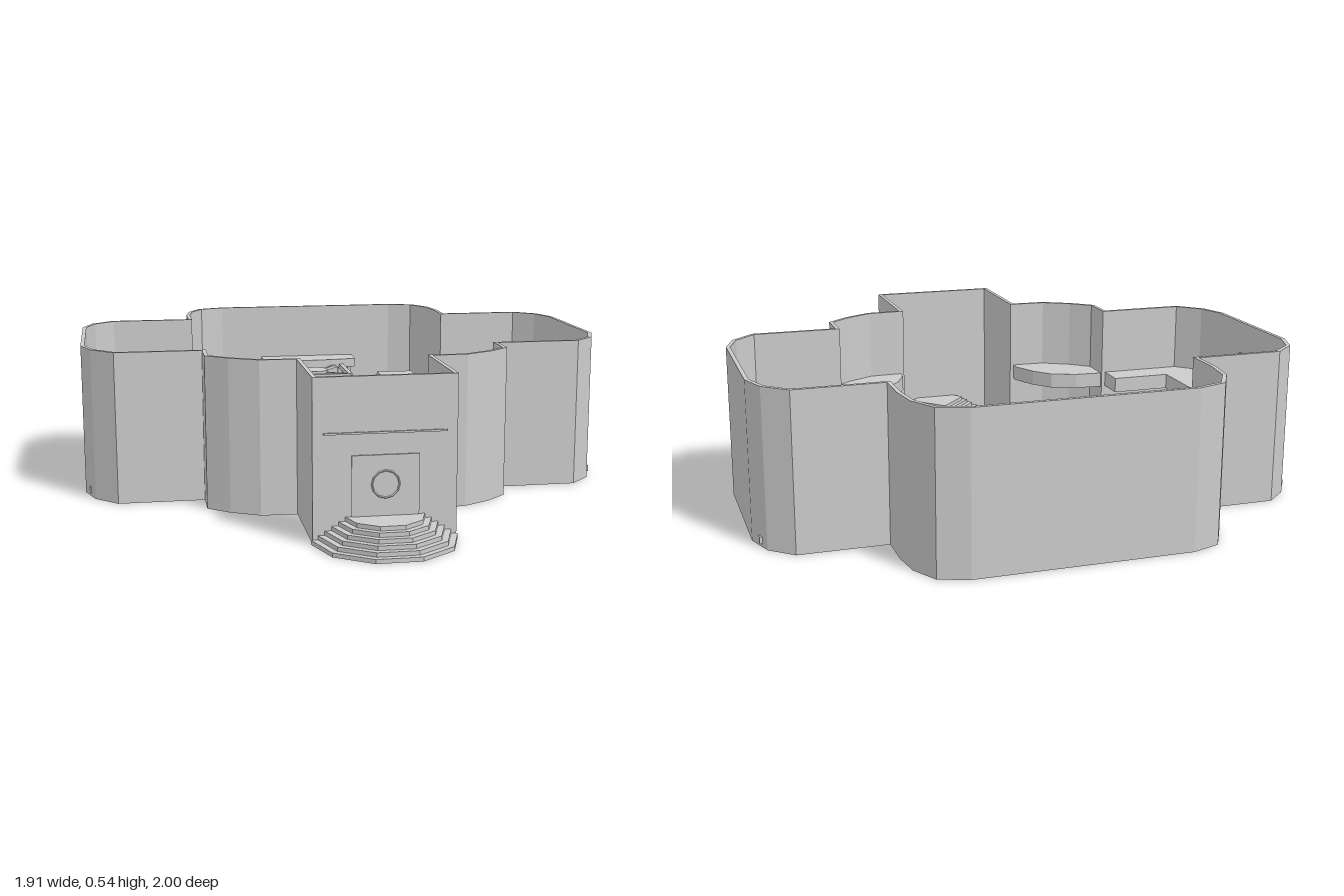
import * as THREE from 'three';

const material = new THREE.MeshStandardMaterial({ color: 0xcccccc, flatShading: true, side: THREE.DoubleSide });
const H = 0.54;

function add(parent, name, geometry, x = 0, y = 0, z = 0) {
  const mesh = new THREE.Mesh(geometry, material);
  mesh.name = name;
  mesh.position.set(x, y, z);
  parent.add(mesh);
  return mesh;
}

// Slab from a plan outline of [x, z] points, rising from y0 to y1
function slab(parent, name, points, y0, y1, hole) {
  const flat = (list) => list.map(([x, z]) => new THREE.Vector2(x, -z));
  const shape = new THREE.Shape(flat(points));
  if (hole) shape.holes.push(new THREE.Path(flat(hole)));
  const geometry = new THREE.ExtrudeGeometry(shape, { depth: y1 - y0, bevelEnabled: false });
  return add(parent, name, geometry.rotateX(-Math.PI / 2), 0, y0, 0);
}

const box = (parent, name, w, h, d, x, y, z) => add(parent, name, new THREE.BoxGeometry(w, h, d), x, y, z);

const mirror = (points, s) => points.map(([x, z]) => [x * s, z]);

// Points of an arc in plan; angle 0 is +x, 90 degrees is +z
function arc(cx, cz, r, from, to, n) {
  return Array.from({ length: n + 1 }, (_, i) => {
    const a = THREE.MathUtils.degToRad(from + (to - from) * i / n);
    return [cx + r * Math.cos(a), cz + r * Math.sin(a)];
  });
}

// Moves a closed outline sideways by t with mitred corners
function inset(points, t) {
  const n = points.length;
  return points.map((p, i) => {
    const a = points[(i + n - 1) % n], b = points[(i + 1) % n];
    const d1 = new THREE.Vector2(p[0] - a[0], p[1] - a[1]).normalize();
    const d2 = new THREE.Vector2(b[0] - p[0], b[1] - p[1]).normalize();
    const nx = -d1.y - d2.y, nz = d1.x + d2.x, k = t / (1 + d1.dot(d2));
    return [p[0] + nx * k, p[1] + nz * k];
  });
}

const alcove = [[0.535, -0.64], [0.84, -0.64], [0.92, -0.57], [0.955, -0.47],
  [0.955, 0], [0.92, 0.1], [0.84, 0.18], [0.535, 0.18]];
const corner = [[0.535, 0.295], [0.46, 0.36], [0.36, 0.415], [0.235, 0.42]];
const halfWall = [[0.37, -0.995], [0.47, -0.96], [0.52, -0.87], [0.535, -0.765],
  ...alcove, ...corner, [0.235, 0.772]];

function buildWalls(g) {
  const outline = [...halfWall, ...mirror(halfWall, -1).reverse()];
  slab(g, 'outerWall', outline, 0, H, inset(outline, 0.014));
}

function buildEntrance(g) {
  // Half-decagon steps outside, triangular steps inside
  for (let i = 0; i < 6; i++) {
    const y = i * 0.0143, k = i / 5;
    slab(g, 'outerStep', arc(0, 0.772, 0.24 - 0.11 * k, 0, 180, 5), y, y + 0.0143);
    const w = 0.22 - 0.11 * k, apex = 0.48 + 0.12 * k;
    slab(g, 'innerStep', [[0, apex], [w, 0.72], [w - 0.03, 0.755], [-w + 0.03, 0.755], [-w, 0.72]], y, y + 0.0143);
  }
  box(g, 'frontDoor', 0.22, 0.2, 0.008, 0, 0.186, 0.774);
  add(g, 'doorRing', new THREE.TorusGeometry(0.045, 0.004, 4, 12), 0, 0.19, 0.777);
  box(g, 'doorLintel', 0.4, 0.006, 0.008, 0, 0.358, 0.774);
}

function buildSide(g, s) {
  slab(g, 'alcoveFloor', mirror(alcove, s), 0, 0.012);
  slab(g, 'alcovePlatform', mirror([[0.94, -0.54], [0.75, -0.54], [0.62, -0.34],
    [0.62, -0.13], [0.75, 0.06], [0.94, 0.06]], s), 0.012, 0.035);
  // U-shaped gallery around an opening to the hall
  slab(g, 'gallery', mirror([...alcove, [0.535, 0.06], [0.75, 0.06], [0.75, -0.54], [0.535, -0.54]], s), 0.24, 0.295);
  box(g, 'galleryDoor', 0.008, 0.13, 0.12, s * 0.94, 0.36, -0.235);
  // Curved counters under the gallery
  for (const z of [-0.37, -0.1]) {
    const ring = [...arc(0.85, z, 0.09, 90, 270, 8), ...arc(0.85, z, 0.06, 270, 90, 8)];
    slab(g, 'curvedCounter', mirror(ring, s), 0.035, 0.1);
    slab(g, 'counterStep', mirror(arc(0.85, z, 0.1, 90, 270, 8), s), 0.035, 0.055);
  }
  for (const z of [-0.46, -0.01]) {
    const lamp = box(g, 'spotLamp', 0.03, 0.03, 0.035, s * 0.735, 0.215, z);
    lamp.rotation.set(0.4, s * Math.sign(z + 0.235) * 0.8, 0);
  }
  // Lens-shaped balcony in the front corner
  slab(g, 'cornerBalcony', mirror([[0.535, 0.175], [0.42, 0.185], [0.33, 0.22],
    [0.275, 0.285], [0.235, 0.37], ...corner.slice().reverse()], s), 0.235, 0.29);
  buildSpeaker(g, s * 0.365);
}

function buildSpeaker(parent, x) {
  const g = new THREE.Group();
  g.name = 'speaker';
  g.position.set(x, 0, -0.75);
  parent.add(g);
  const cabinet = new THREE.Shape([[-0.115, 0], [0.115, 0], [0.115, 0.08], [0.075, 0.265], [-0.075, 0.265], [-0.115, 0.08]]
    .map(([a, b]) => new THREE.Vector2(a, b)));
  add(g, 'speakerCabinet', new THREE.ExtrudeGeometry(cabinet, { depth: 0.16, bevelEnabled: false }), 0, 0, -0.08);
  // Flared drivers: one large, two small
  for (const [dx, dy, r] of [[0, 0.085, 0.075], [-0.042, 0.205, 0.036], [0.042, 0.205, 0.036]]) {
    const profile = [[1, 0], [1, 0.025], [0.85, 0.028], [0.4, 0.008], [0.25, 0.02], [0, 0.022]]
      .map(([a, b]) => new THREE.Vector2(a * r, b));
    add(g, 'speakerDriver', new THREE.LatheGeometry(profile, 16).rotateX(Math.PI / 2), dx, dy, 0.08);
  }
}

function buildStage(g) {
  const cz = -0.72, hole = arc(0, cz, 0.065, 0, 345, 23);
  slab(g, 'stageBase', [[0.22, -0.98], ...arc(0, cz, 0.22, 0, 180, 14), [-0.22, -0.98]], 0, 0.035, hole);
  slab(g, 'stageDeck', [[0.18, -0.9], ...arc(0, cz, 0.18, 0, 180, 12), [-0.18, -0.9]], 0.035, 0.06, hole);
  slab(g, 'stageRing', arc(0, cz, 0.1, 0, 345, 23), 0.06, 0.075, hole);
  // Back panel and canopy with a concave front
  box(g, 'backPanel', 0.4, 0.32, 0.012, 0, 0.16, -0.975);
  slab(g, 'stageCanopy', [[-0.2, -0.98], [-0.2, -0.87], [-0.1, -0.855], [0, -0.85],
    [0.1, -0.855], [0.2, -0.87], [0.2, -0.98]], 0.285, 0.32);
  for (const x of [-0.16, -0.06, 0.06, 0.16])
    add(g, 'canopyColumn', new THREE.CylinderGeometry(0.014, 0.014, 0.25, 8), x, 0.16, -0.91);
  // Square truss on four posts with diagonals meeting at a disc
  const top = 0.29, tz = -0.76, r = 0.135;
  for (const s of [-1, 1]) {
    box(g, 'trussBeam', 2 * r, 0.018, 0.018, 0, top, tz + s * r);
    box(g, 'trussBeam', 0.018, 0.018, 2 * r, s * r, top, tz);
    for (const t of [-1, 1]) {
      box(g, 'trussPost', 0.018, 0.25, 0.018, s * r, 0.165, tz + t * r);
      const dx = s * r, dz = tz + t * r - cz;
      const brace = box(g, 'trussBrace', 0.012, 0.012, Math.hypot(dx, dz), dx / 2, top, cz + dz / 2);
      brace.rotation.y = Math.atan2(dx, dz);
    }
  }
  add(g, 'trussDisc', new THREE.CylinderGeometry(0.055, 0.055, 0.025, 16), 0, top, cz);
}

export function createModel() {
  const model = new THREE.Group();
  model.name = 'danceHall';
  buildWalls(model);
  buildEntrance(model);
  for (const s of [1, -1]) buildSide(model, s);
  buildStage(model);
  return model;
}
